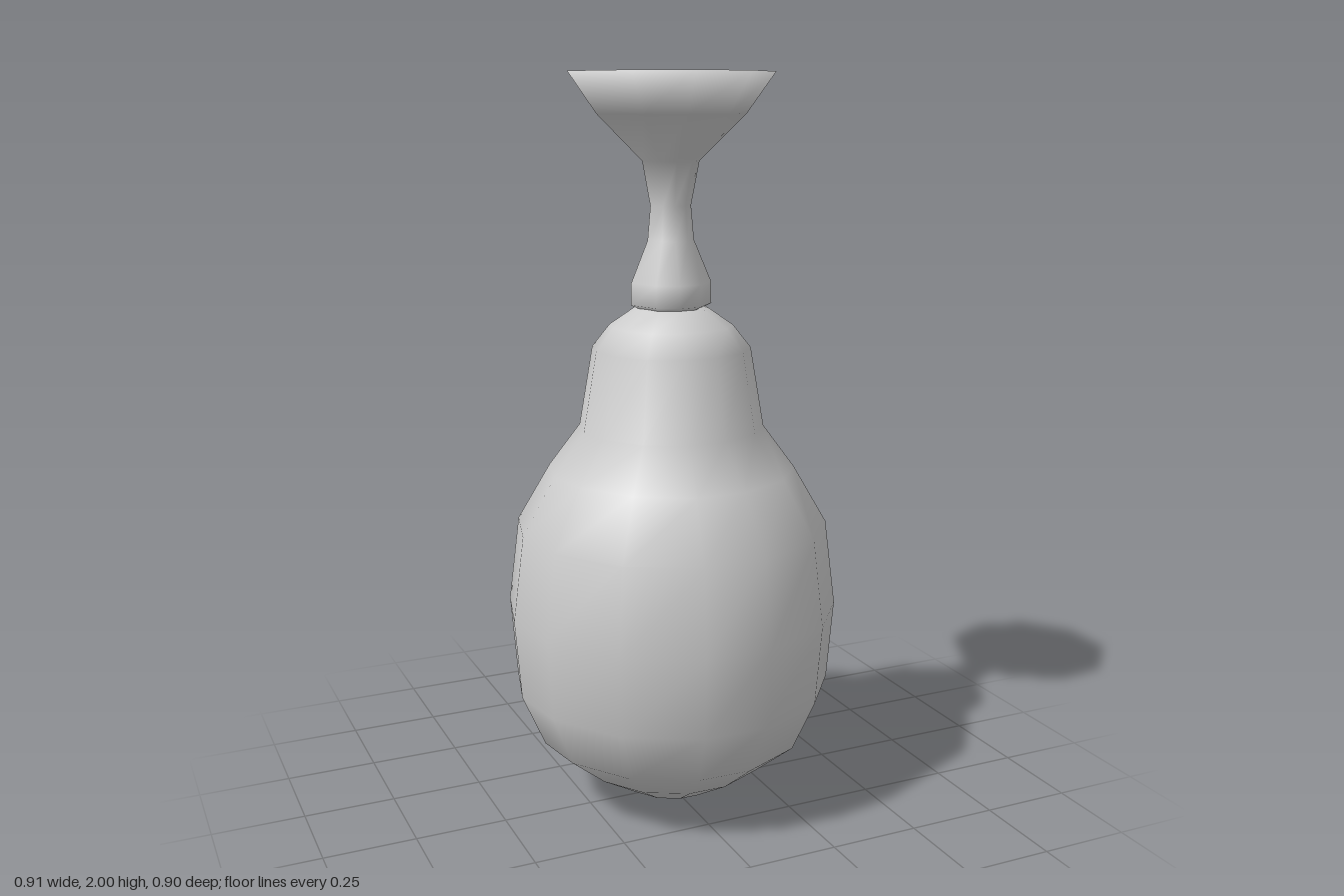
import * as THREE from 'three';

// Closed solid of rings: profile [radius, height] from bottom to top, one corner per angle (degrees)
function ringSolid(name, profile, angles, material) {
  const n = angles.length, rings = profile.length;
  const pos = [], index = [];
  for (const [r, y] of profile) {
    for (const deg of angles) {
      const a = THREE.MathUtils.degToRad(deg);
      pos.push(r * Math.cos(a), y, r * Math.sin(a));
    }
  }
  const bottom = n * rings, top = bottom + 1;
  pos.push(0, profile[0][1], 0, 0, profile[rings - 1][1], 0);
  for (let j = 0; j < n; j++) {
    const k = (j + 1) % n;
    for (let i = 0; i < rings - 1; i++) {
      const a = i * n + j, b = i * n + k, c = a + n, d = b + n;
      index.push(a, c, b, b, c, d);
    }
    const last = (rings - 1) * n;
    index.push(bottom, j, k, top, last + k, last + j);
  }
  const geo = new THREE.BufferGeometry();
  geo.setAttribute('position', new THREE.Float32BufferAttribute(pos, 3));
  geo.setIndex(index);
  geo.computeVertexNormals();
  const mesh = new THREE.Mesh(geo, material);
  mesh.name = name;
  return mesh;
}

export function createModel() {
  const group = new THREE.Group();
  group.name = 'stopperedFlask';
  const grey = new THREE.MeshStandardMaterial({ color: 0xcccccc });

  // Pear-shaped body, 14 slightly uneven sides
  const bodyAngles = [2, 25, 52, 80, 103, 131, 159, 182, 208, 236, 261, 288, 316, 339];
  group.add(ringSolid('body', [
    [0.03, 0], [0.13, 0.025], [0.26, 0.105], [0.375, 0.2], [0.438, 0.345],
    [0.455, 0.565], [0.425, 0.8], [0.335, 0.955], [0.25, 1.07], [0.213, 1.285],
    [0.165, 1.345], [0.1, 1.39], [0.06, 1.4],
  ], bodyAngles, grey));

  // Narrow waisted neck flaring to a flat nine-sided top
  const neckAngles = [20, 67, 101, 133.5, 184, 230, 263, 303, 341];
  const neck = ringSolid('flaredNeck', [
    [0.085, 1.39], [0.11, 1.402], [0.109, 1.46], [0.063, 1.57], [0.055, 1.66],
    [0.077, 1.775], [0.2, 1.895], [0.275, 2],
  ], neckAngles, grey);
  neck.position.x = -0.003;
  group.add(neck);

  return group;
}
